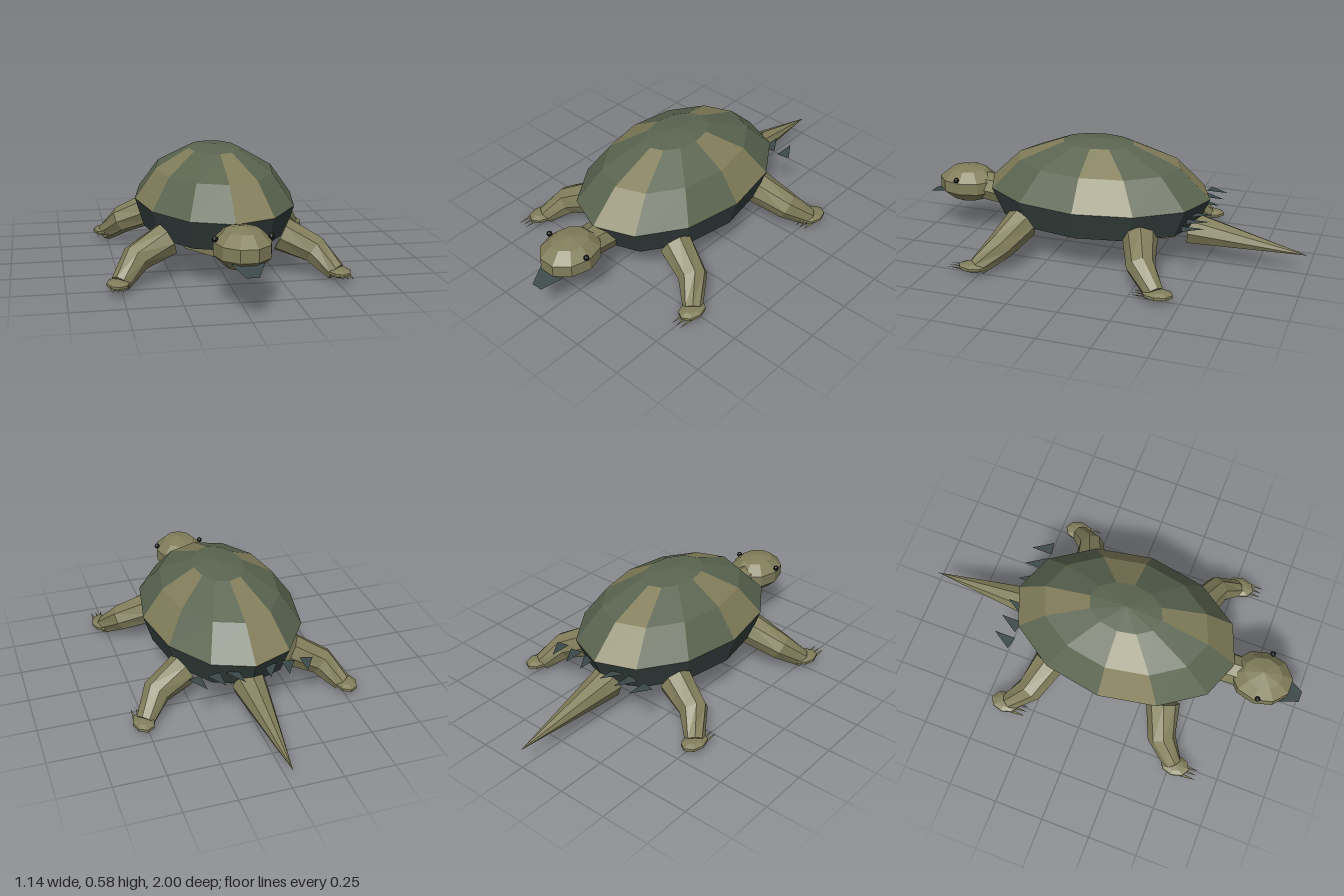
import * as THREE from 'three';

const mat = (name, color, extra = {}) =>
  Object.assign(new THREE.MeshStandardMaterial({ color, flatShading: true, ...extra }), { name });
const V = (x, y, z) => new THREE.Vector3(x, y, z);

// Ring around the vertical axis, starting at the front and turning towards +x
function levelRing(n, y, rx, rz, zc, phase = 0) {
  return Array.from({ length: n }, (_, i) => {
    const a = phase + (i / n) * Math.PI * 2;
    return V(Math.sin(a) * rx, y, zc + Math.cos(a) * rz);
  });
}

// Rings of given radii square to a path
function pathRings(points, radii, n) {
  return points.map((p, k) => {
    const d = points[Math.min(k + 1, points.length - 1)].clone().sub(points[Math.max(k - 1, 0)]).normalize();
    const u = V(0, 1, 0).cross(d).normalize();
    const v = d.clone().cross(u);
    return Array.from({ length: n }, (_, i) => {
      const a = (i / n) * Math.PI * 2;
      return p.clone().addScaledVector(u, Math.cos(a) * radii[k]).addScaledVector(v, Math.sin(a) * radii[k]);
    });
  });
}

// Skin over rings; keep(i) selects the columns, caps close both ends
function loft(rings, { caps = false, keep = () => true } = {}) {
  const pts = [];
  const tri = (a, b, c) => {
    if (a.distanceTo(b) > 1e-6 && b.distanceTo(c) > 1e-6 && c.distanceTo(a) > 1e-6) pts.push(a, b, c);
  };
  const n = rings[0].length;
  for (let k = 0; k + 1 < rings.length; k++) {
    for (let i = 0; i < n; i++) {
      if (!keep(i)) continue;
      const j = (i + 1) % n, a = rings[k], b = rings[k + 1];
      tri(a[i], a[j], b[j]);
      tri(a[i], b[j], b[i]);
    }
  }
  if (caps) {
    const first = rings[0], last = rings[rings.length - 1];
    for (let i = 1; i + 1 < n; i++) {
      tri(first[0], first[i + 1], first[i]);
      tri(last[0], last[i], last[i + 1]);
    }
  }
  return flat(pts);
}

function flat(pts) {
  const g = new THREE.BufferGeometry().setFromPoints(pts);
  g.computeVertexNormals();
  return g;
}

export function createModel() {
  const skin = mat('olive skin', 0x827e5b);
  const shellGreen = mat('shell green', 0x5b6550);
  const dark = mat('dark slate', 0x35403e);
  const plate = mat('dark horn', 0x3c4848, { side: THREE.DoubleSide });
  const claw = mat('olive claw', 0x77734f, { side: THREE.DoubleSide });
  const black = mat('eye black', 0x151817);

  const model = new THREE.Group();
  model.name = 'turtle';
  const add = (name, geometry, material, parent = model) => {
    const m = new THREE.Mesh(geometry, material);
    m.name = name;
    parent.add(m);
    return m;
  };
  const ball = (name, material, segs, p, s, parent) => {
    const m = add(name, new THREE.SphereGeometry(1, ...segs), material, parent);
    m.position.copy(p);
    m.scale.copy(s);
    return m;
  };

  // Domed shell: every third column is olive
  const zc = 0.065;
  const shellRing = ([y, r]) => levelRing(12, y, 0.39 * r, 0.575 * r, zc);
  const dome = [[0.33, 1], [0.475, 0.735], [0.57, 0.32], [0.59, 0]].map(shellRing);
  add('shellDome', loft(dome.slice(0, 3), { keep: i => i % 3 !== 0 }), shellGreen);
  add('shellStripes', loft(dome.slice(0, 3), { keep: i => i % 3 === 0 }), skin);
  add('shellCrown', loft(dome.slice(2)), shellGreen);
  add('shellUnderside', loft([[0.19, 0.89], [0.33, 1]].map(shellRing), { caps: true }), dark);

  // Belly plate
  const belly = [[0.113, 0], [0.137, 1], [0.195, 1]]
    .map(([y, r]) => levelRing(10, y, 0.22 * r, 0.44 * r, zc, Math.PI / 10));
  add('bellyPlate', loft(belly), skin);

  // Head, neck, eyes and beak
  ball('head', skin, [10, 5], V(0, 0.27, 0.785), V(0.136, 0.096, 0.163));
  add('neck', loft(pathRings([V(0, 0.235, 0.4), V(0, 0.265, 0.74)], [0.085, 0.075], 8), { caps: true }), skin);
  for (const s of [1, -1]) ball('eye', black, [8, 6], V(s * 0.124, 0.316, 0.8), V(0.014, 0.014, 0.014));
  const b = [V(-0.073, 0.23, 0.9), V(0.073, 0.23, 0.9), V(0.028, 0.2, 1), V(-0.028, 0.2, 1)];
  add('beak', flat([b[0], b[3], b[2], b[0], b[2], b[1]]), plate);

  // Tail
  add('tail', loft(pathRings([V(0, 0.172, -0.42), V(0, 0.105, -1)], [0.084, 0], 8), { caps: true }), skin);

  // Flat spikes under the rear rim
  for (const s of [1, -1]) {
    for (let i = 0; i < 3; i++) {
      const x = 0.062 + i * 0.0915;
      add('rearSpike', flat([V(s * x, 0.28, -0.434), V(s * (x + 0.063), 0.28, -0.448), V(s * x, 0.28, -0.545)]), plate);
    }
  }

  // Four legs; the rear pair mirrors the front, but all claws point forward
  for (const front of [true, false]) {
    for (const s of [1, -1]) {
      const leg = new THREE.Group();
      leg.name = front ? 'frontLeg' : 'rearLeg';
      model.add(leg);
      const at = (x, y, z) => V(s * x, y, front ? z : 2 * zc - z);
      const path = [at(0.275, 0.2, 0.37), at(0.425, 0.13, 0.42), at(0.505, 0.044, 0.51)];
      add('limb', loft(pathRings(path, [0.084, 0.07, 0.047], 8), { caps: true }), skin, leg);
      const foot = at(0.516, 0.048, 0.527);
      ball('foot', skin, [8, 5], foot, V(0.056, 0.022, 0.078), leg);
      for (const dx of [-0.024, 0, 0.024]) {
        const x = foot.x + s * 0.01 + dx, z = foot.z + 0.045;
        add('claw', flat([V(x - 0.009, 0.045, z), V(x + 0.009, 0.045, z), V(x, 0.045, z + 0.077)]), claw, leg);
      }
    }
  }
  return model;
}
